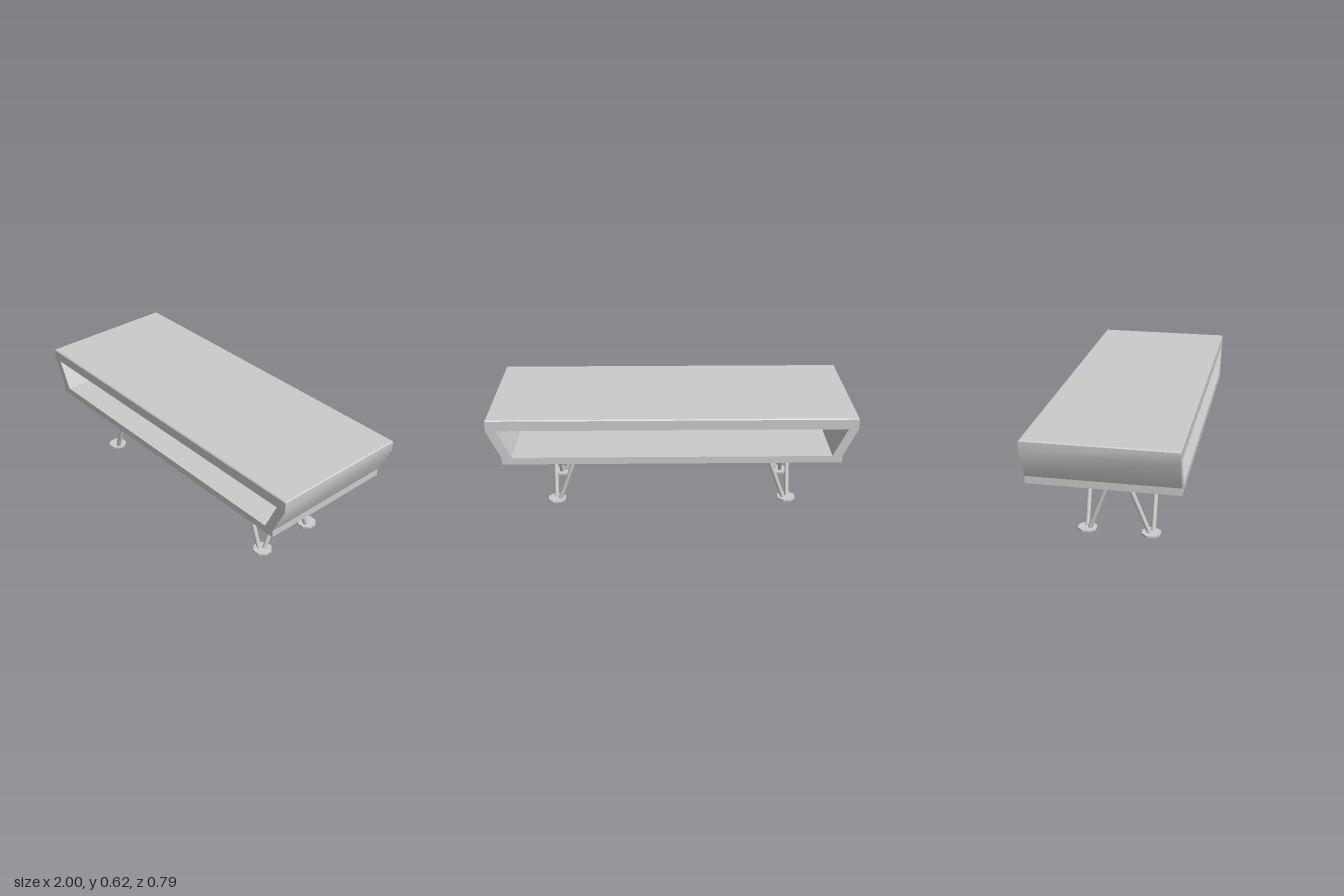
import * as THREE from 'three';
import { toCreasedNormals } from 'three/addons/utils/BufferGeometryUtils.js';

const DEPTH = 0.79;

export function createModel() {
  const model = new THREE.Group();
  const material = new THREE.MeshStandardMaterial({ color: 0xcccccc });

  const add = (geometry, name, parent = model) => {
    const mesh = new THREE.Mesh(geometry, material);
    mesh.name = name;
    parent.add(mesh);
    return mesh;
  };

  // Shell: top panel and slanted ends, open at front and back
  const half = [[0.925, 0.4], [1, 0.56], [1, 0.616]];
  const inner = [[0.945, 0.56], [0.87, 0.4]];
  const mirror = (pts) => pts.map(([x, y]) => [-x, y]).reverse();
  const outline = [...half, ...mirror(half), ...mirror(inner).map((p) => p), ...inner];
  const shape = new THREE.Shape(outline.map(([x, y]) => new THREE.Vector2(x, y)));
  const shell = new THREE.ExtrudeGeometry(shape, { depth: DEPTH, bevelEnabled: false });
  shell.translate(0, 0, -DEPTH / 2);
  add(toCreasedNormals(shell, 0.5), 'shell');

  // Thin top with a narrow bevelled rim
  const top = new THREE.BoxGeometry(2, 0.006, DEPTH);
  const pos = top.attributes.position;
  for (let i = 0; i < pos.count; i++) {
    if (pos.getY(i) < 0) continue;
    pos.setX(i, pos.getX(i) - Math.sign(pos.getX(i)) * 0.005);
    pos.setZ(i, pos.getZ(i) - Math.sign(pos.getZ(i)) * 0.005);
  }
  top.computeVertexNormals();
  add(top, 'topPanel').position.y = 0.619;

  // Bottom shelf
  add(new THREE.BoxGeometry(1.85, 0.04, DEPTH), 'bottomShelf').position.y = 0.38;

  // Round rod between two points
  const rod = (from, to, name, parent) => {
    const a = new THREE.Vector3(...from);
    const b = new THREE.Vector3(...to);
    const dir = b.clone().sub(a);
    const mesh = add(new THREE.CylinderGeometry(0.0125, 0.0125, dir.length(), 12), name, parent);
    mesh.position.copy(a).add(b).multiplyScalar(0.5);
    mesh.quaternion.setFromUnitVectors(new THREE.Vector3(0, 1, 0), dir.normalize());
  };

  // Four V-shaped legs on octagonal feet, set slightly forward of centre
  for (const side of [-1, 1]) {
    for (const front of [true, false]) {
      const leg = new THREE.Group();
      leg.name = (front ? 'front' : 'back') + (side > 0 ? 'Left' : 'Right') + 'Leg';
      model.add(leg);

      const z = front ? 0.21 : -0.148;
      const footZ = front ? 0.202 : -0.143;
      const footX = side * 0.67;
      const foot = add(new THREE.CylinderGeometry(0.054, 0.054, 0.01, 8), 'foot', leg);
      foot.geometry.rotateY(Math.PI / 8);
      foot.geometry.computeVertexNormals();
      foot.geometry = toCreasedNormals(foot.geometry, 0.3);
      foot.position.set(footX, 0.005, footZ);

      // One strut leans along the length, the other across the depth
      rod([side * 0.65, 0.008, z], [side * 0.518, 0.365, z], 'lengthwiseStrut', leg);
      const leanBase = front ? 0.192 : -0.128;
      const leanTop = front ? 0.048 : 0.006;
      rod([side * 0.675, 0.008, leanBase], [side * 0.675, 0.365, leanTop], 'crosswiseStrut', leg);
    }
  }

  return model;
}
